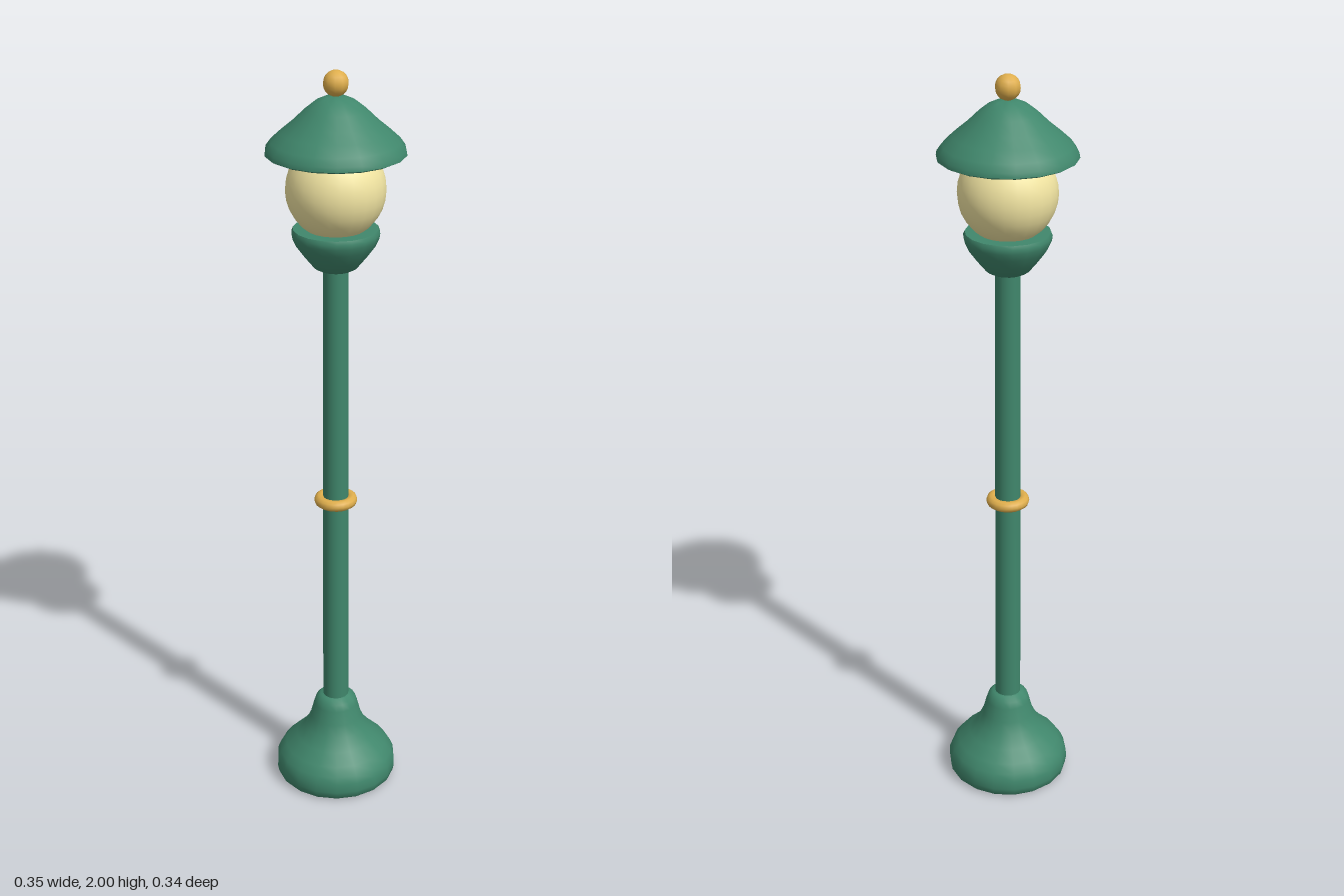
import * as THREE from 'three';
import { toCreasedNormals } from 'three/addons/utils/BufferGeometryUtils.js';

const SIDES = 18;

export function createModel() {
  const lamp = new THREE.Group();
  lamp.name = 'streetLamp';

  const paint = (color) => new THREE.MeshStandardMaterial({ color });
  const green = paint(0x40876c);
  const gold = paint(0xdfae4c);
  const glass = paint(0xf2e5a2);

  const add = (name, geometry, material, y = 0) => {
    const mesh = new THREE.Mesh(geometry, material);
    mesh.name = name;
    mesh.position.y = y;
    lamp.add(mesh);
    return mesh;
  };

  // Turned part from [radius, height] pairs, listed from bottom to top
  const turned = (profile) => toCreasedNormals(
    new THREE.LatheGeometry(profile.map(([r, y]) => new THREE.Vector2(r, y)), SIDES, Math.PI / 2),
    Math.PI / 3,
  );

  // Flared foot
  add('base', turned([
    [0, 0.005], [0.155, 0.005], [0.163, 0.013], [0.166, 0.03], [0.165, 0.055],
    [0.157, 0.075], [0.14, 0.097], [0.11, 0.125], [0.085, 0.155], [0.07, 0.187],
    [0.06, 0.225], [0.054, 0.243], [0.042, 0.255], [0, 0.255],
  ]), green);

  // Slightly tapered post with its ring
  add('post', new THREE.CylinderGeometry(0.032, 0.035, 1.3, SIDES), green, 0.88);
  add('ring', new THREE.TorusGeometry(0.042, 0.015, 10, 24), gold, 0.857).rotation.x = Math.PI / 2;

  // Cup that holds the globe
  add('cup', turned([
    [0, 1.502], [0.045, 1.502], [0.056, 1.508], [0.078, 1.535], [0.1, 1.565],
    [0.109, 1.585], [0.111, 1.598], [0.107, 1.607], [0, 1.607],
  ]), green);

  add('globe', new THREE.SphereGeometry(0.125, 24, 16), glass, 1.707);

  // Bell-shaped hood
  add('hood', turned([
    [0, 1.793], [0.165, 1.793], [0.175, 1.798], [0.173, 1.81], [0.16, 1.828],
    [0.135, 1.851], [0.105, 1.876], [0.075, 1.905], [0.05, 1.925], [0.028, 1.935], [0, 1.938],
  ]), green);

  add('finial', new THREE.SphereGeometry(0.032, 10, 10), gold, 1.968);

  return lamp;
}
